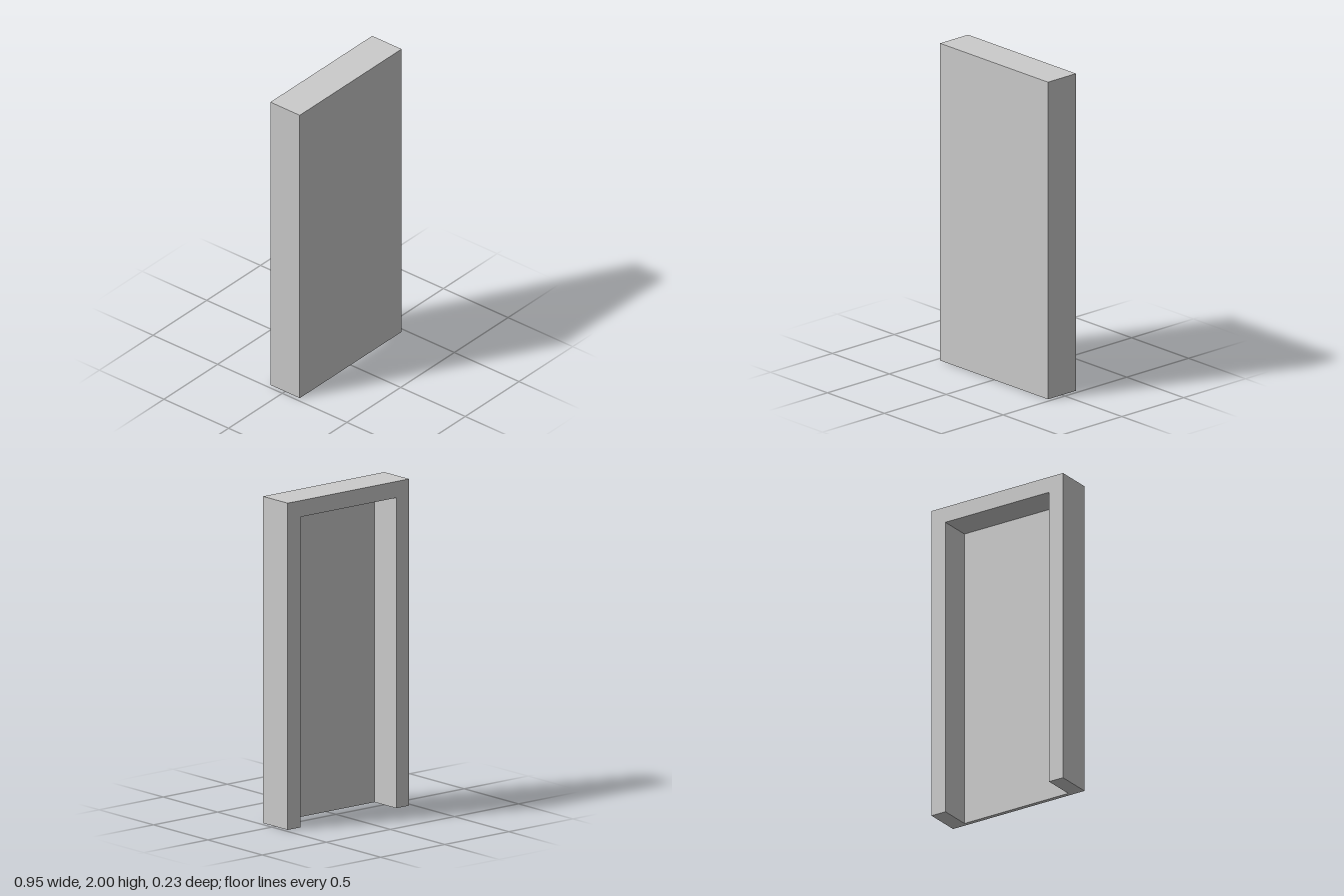
import * as THREE from 'three';

const W = 0.474;      // half width
const H = 2;          // height
const D = 0.227;      // total depth
const RIM = 0.1;      // width of jambs and lintel
const PANEL = 0.026;  // thickness of the front panel

export function createModel() {
  const group = new THREE.Group();
  group.name = 'doorway';
  const material = new THREE.MeshStandardMaterial({ color: 0xcccccc, flatShading: true });

  const add = (name, geometry) => {
    const mesh = new THREE.Mesh(geometry, material);
    mesh.name = name;
    group.add(mesh);
    return mesh;
  };

  // Two jambs and a lintel as one piece, open at the bottom and the back
  const inner = W - RIM;
  const outline = new THREE.Shape([
    [-W, 0], [-inner, 0], [-inner, H - RIM], [inner, H - RIM],
    [inner, 0], [W, 0], [W, H], [-W, H],
  ].map(([x, y]) => new THREE.Vector2(x, y)));
  const frame = add('frame', new THREE.ExtrudeGeometry(outline, { depth: D - PANEL, bevelEnabled: false }));
  frame.position.z = -D / 2;

  // Flat panel closing the front, flush with the frame
  const panel = add('frontPanel', new THREE.BoxGeometry(2 * W, H, PANEL));
  panel.position.set(0, H / 2, D / 2 - PANEL / 2);

  return group;
}
